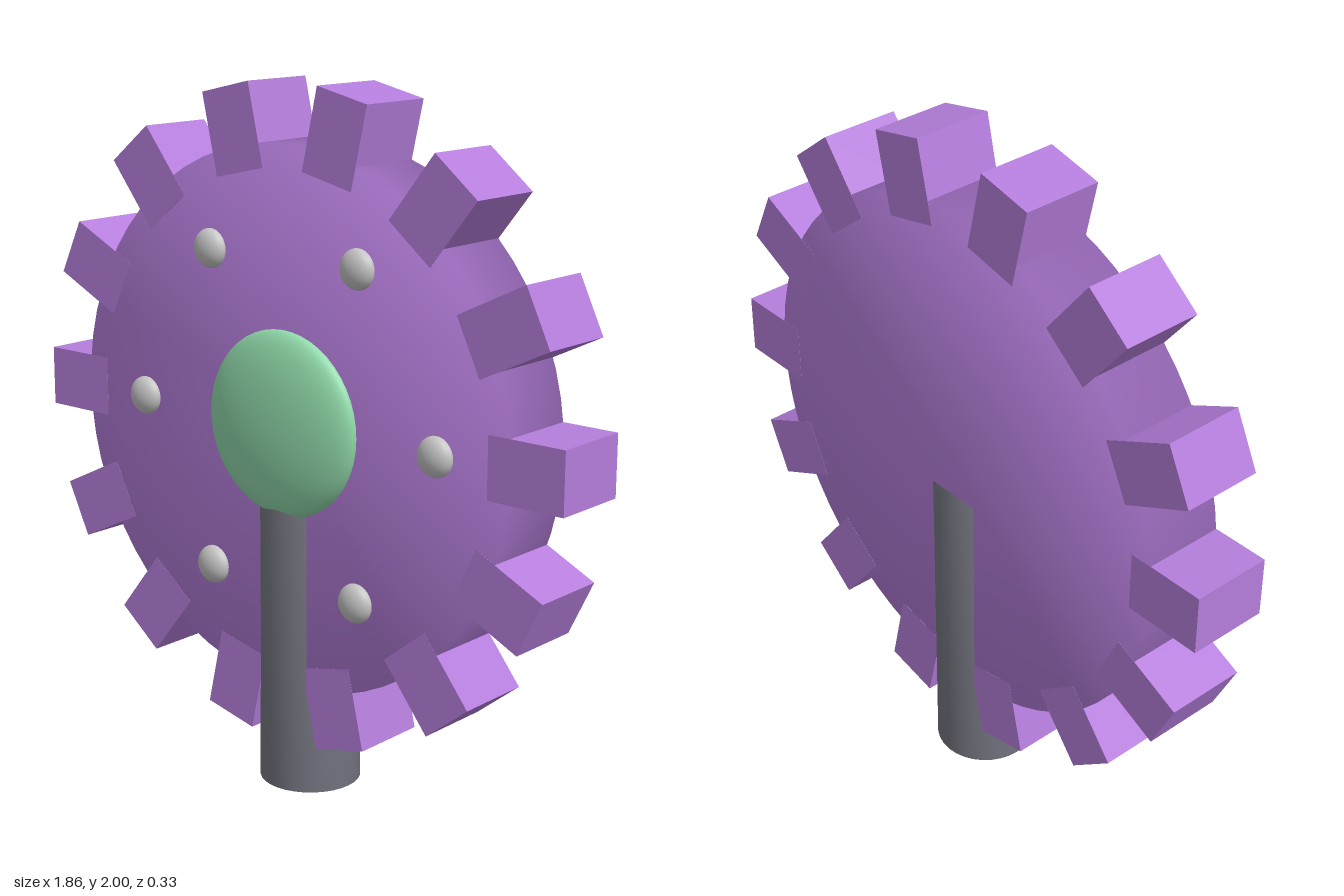
import * as THREE from 'three';
import { mergeVertices } from 'three/addons/utils/BufferGeometryUtils.js';

const HUB_Y = 1.073; // wheel axis height
const MID_Z = -0.021; // wheel mid plane
const HALF = 0.117; // half the wheel thickness

// Cylinder with normals blended softly over its rims
function softCylinder(radius, height, sides) {
  let geo = new THREE.CylinderGeometry(radius, radius, height, sides);
  geo.deleteAttribute('normal');
  geo.deleteAttribute('uv');
  geo = mergeVertices(geo, 1e-4);
  geo.computeVertexNormals();
  return geo;
}

function flatColour(name, color) {
  const material = new THREE.MeshStandardMaterial({ color });
  material.name = name;
  return material;
}

export function createModel() {
  const model = new THREE.Group();
  model.name = 'cogOnPost';

  const purple = flatColour('purple', 0xb57edc);
  const green = flatColour('green', 0x90d9aa);
  const silver = flatColour('silver', 0xc4c4c4);
  const slate = flatColour('slate', 0x767682);

  const add = (name, geometry, material, x, y, z) => {
    const mesh = new THREE.Mesh(geometry, material);
    mesh.name = name;
    mesh.position.set(x, y, z);
    model.add(mesh);
    return mesh;
  };

  // Wheel disc
  const disc = softCylinder(0.77, HALF * 2, 64).rotateX(Math.PI / 2);
  add('disc', disc, purple, 0, HUB_Y, MID_Z);

  // Square teeth around the rim
  const toothCount = 14;
  const toothGeo = new THREE.BoxGeometry(0.235, 0.174, HALF * 2 + 0.001);
  for (let i = 0; i < toothCount; i++) {
    const a = (i / toothCount) * Math.PI * 2;
    const r = 0.932 - 0.235 / 2;
    const tooth = add('tooth', toothGeo, purple, Math.cos(a) * r, HUB_Y + Math.sin(a) * r, MID_Z);
    tooth.rotation.z = a;
  }

  // Domed hub on the front
  const hubGeo = new THREE.SphereGeometry(0.264, 40, 24).scale(1, 1, 0.26);
  add('hub', hubGeo, green, 0, HUB_Y, 0.097);

  // Ring of six studs
  const studGeo = new THREE.SphereGeometry(0.056, 24, 16).scale(1, 1, 0.62);
  for (let i = 0; i < 6; i++) {
    const a = (i / 6) * Math.PI * 2;
    add('stud', studGeo, silver, Math.cos(a) * 0.532, HUB_Y + Math.sin(a) * 0.532, 0.098);
  }

  // Upright post passing through the disc
  const postHeight = 0.952;
  add('post', softCylinder(0.146, postHeight, 32), slate, 0, postHeight / 2, MID_Z);

  return model;
}
